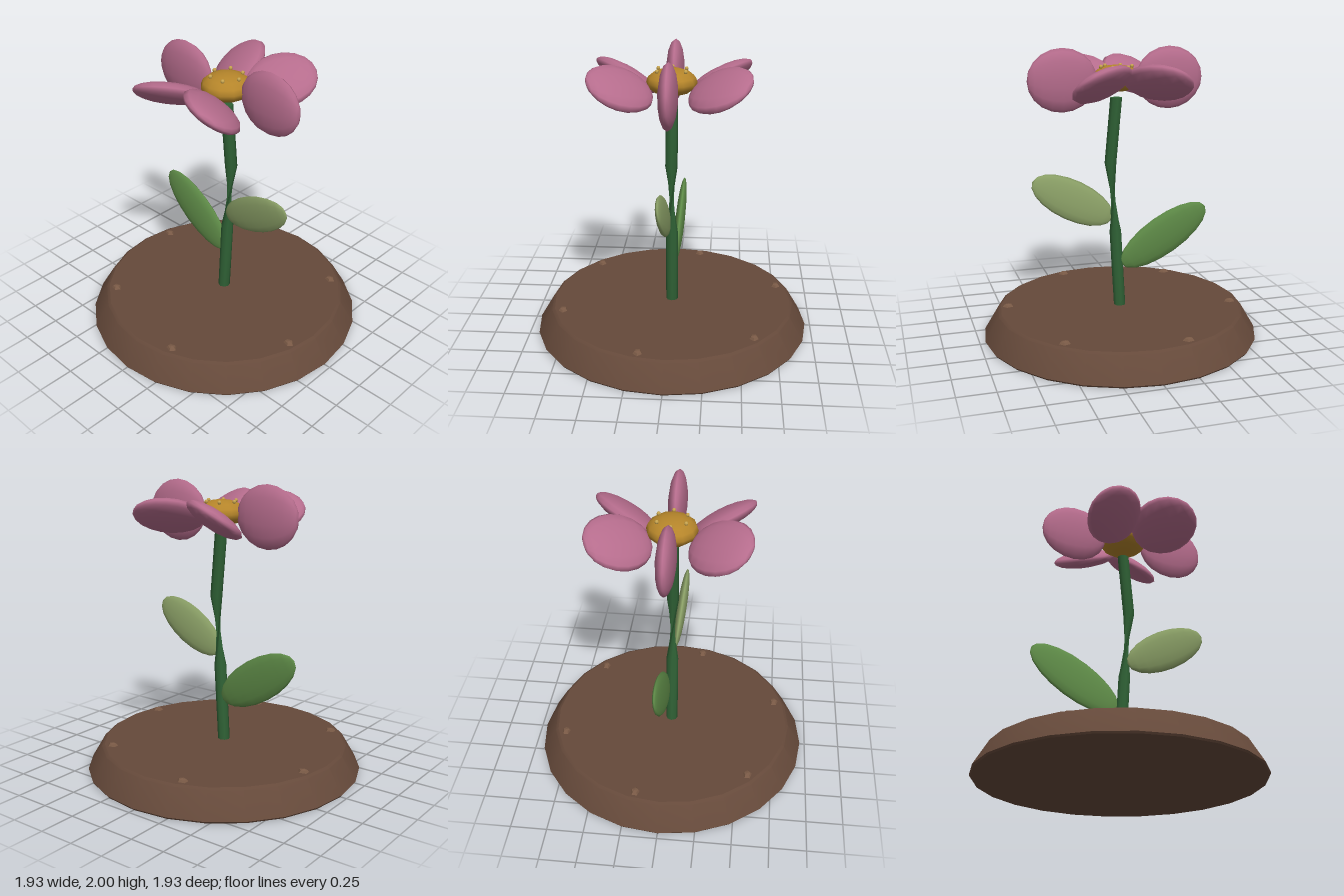
import * as THREE from 'three';
import { toCreasedNormals } from 'three/addons/utils/BufferGeometryUtils.js';

const mat = (color, extra = {}) => {
  const m = new THREE.MeshStandardMaterial(extra);
  m.color.set(color);
  return m;
};

function add(parent, name, geometry, material, position = [0, 0, 0]) {
  const mesh = new THREE.Mesh(geometry, material);
  mesh.name = name;
  mesh.position.set(...position);
  parent.add(mesh);
  return mesh;
}

// Ellipsoid laid along a long axis, flattened across a normal
function blade(parent, name, material, position, size, along, normal) {
  const n = new THREE.Vector3(...normal).normalize();
  const l = new THREE.Vector3(...along);
  l.addScaledVector(n, -l.dot(n)).normalize();
  const m = new THREE.Vector3().crossVectors(n, l);
  const geometry = new THREE.SphereGeometry(1, 14, 10);
  geometry.rotateZ(-Math.PI / 2); // poles at the two ends
  const mesh = add(parent, name, geometry, material, position);
  mesh.quaternion.setFromRotationMatrix(new THREE.Matrix4().makeBasis(l, m, n));
  mesh.scale.set(...size);
  return mesh;
}

// Octagonal stem in three bent lengths, the middle one twisted
function stemGeometry() {
  const rings = [[0, 0.17], [0.032, 0.73], [0.066, 1.22], [0.025, 1.665]];
  const twist = Math.PI * 0.75;
  const geometry = new THREE.CylinderGeometry(0.042, 0.042, 3, 8, 3);
  const p = geometry.attributes.position;
  const v = new THREE.Vector3();
  const up = new THREE.Vector3(0, 1, 0);
  for (let i = 0; i < p.count; i++) {
    v.fromBufferAttribute(p, i);
    const ring = Math.round(v.y + 1.5);
    v.y = 0;
    if (ring > 1) v.applyAxisAngle(up, twist);
    p.setXYZ(i, v.x + rings[ring][0], rings[ring][1], v.z);
  }
  return toCreasedNormals(geometry, 0.9);
}

export function createModel() {
  const model = new THREE.Group();
  model.name = 'flower';

  // Soil mound with a small bevel at its rim
  const profile = [[0, 0], [0.955, 0], [0.963, 0.012], [0.865, 0.178], [0.845, 0.19], [0, 0.19]];
  const soil = new THREE.LatheGeometry(profile.map(([r, y]) => new THREE.Vector2(r, y)), 24);
  add(model, 'soil', toCreasedNormals(soil, 0.5), mat(0x65493a));

  // Pebbles around the soil
  const pebbles = new THREE.Group();
  pebbles.name = 'pebbles';
  model.add(pebbles);
  const pebbleGeometry = new THREE.SphereGeometry(0.04, 5, 4);
  pebbleGeometry.rotateY(Math.PI);
  pebbleGeometry.scale(1, 0.5, 0.8);
  const pebbleMaterial = mat(0x7a5a46, { flatShading: true });
  for (let i = 0; i < 6; i++) {
    const a = 0.22 + i * Math.PI / 3;
    add(pebbles, 'pebble', pebbleGeometry, pebbleMaterial, [0.79 * Math.cos(a), 0.19, 0.79 * Math.sin(a)]);
  }

  add(model, 'stem', stemGeometry(), mat(0x2f6135, { side: THREE.DoubleSide }));

  // Leaves
  blade(model, 'rightLeaf', mat(0x5f8c48), [-0.31, 0.685, -0.04], [0.36, 0.148, 0.035],
    [-0.84, 0.545, 0], [0, 0.08, 1]);
  blade(model, 'leftLeaf', mat(0x8a9f66), [0.325, 0.962, 0.038], [0.312, 0.138, 0.035],
    [0.88, 0.47, 0], [0, -0.12, 1]);

  // Blossom
  const blossom = new THREE.Group();
  blossom.name = 'blossom';
  blossom.position.set(0.0225, 1.79, 0);
  model.add(blossom);
  const centre = add(blossom, 'flowerCentre', new THREE.SphereGeometry(0.17, 12, 8), mat(0xb5852a), [0, 0.005, 0]);
  centre.scale.y = 0.53;

  // Stamens on the centre
  const stamenGeometry = new THREE.SphereGeometry(0.014, 6, 5);
  const stamenMaterial = mat(0xc9a650);
  for (let i = 0; i < 6; i++) {
    const a = i * Math.PI / 3;
    add(blossom, 'stamen', stamenGeometry, stamenMaterial, [0.108 * Math.cos(a), 0.083, 0.108 * Math.sin(a)]);
  }

  // Side petals stand upright, the other four are tilted
  const pink = mat(0xb56c8c);
  for (const sx of [-1, 1]) {
    blade(blossom, 'sidePetal', pink, [sx * 0.373, 0, 0], [0.237, 0.213, 0.064], [sx, 0, 0], [0, 0, 1]);
    for (const sz of [-1, 1]) {
      blade(blossom, 'tiltedPetal', pink, [sx * 0.187, 0, sz * 0.323], [0.24, 0.208, 0.064],
        [sx * 0.47, 0, sz * 0.88], [sx * 0.33, 0.82, sz * -0.47]);
    }
  }
  return model;
}
